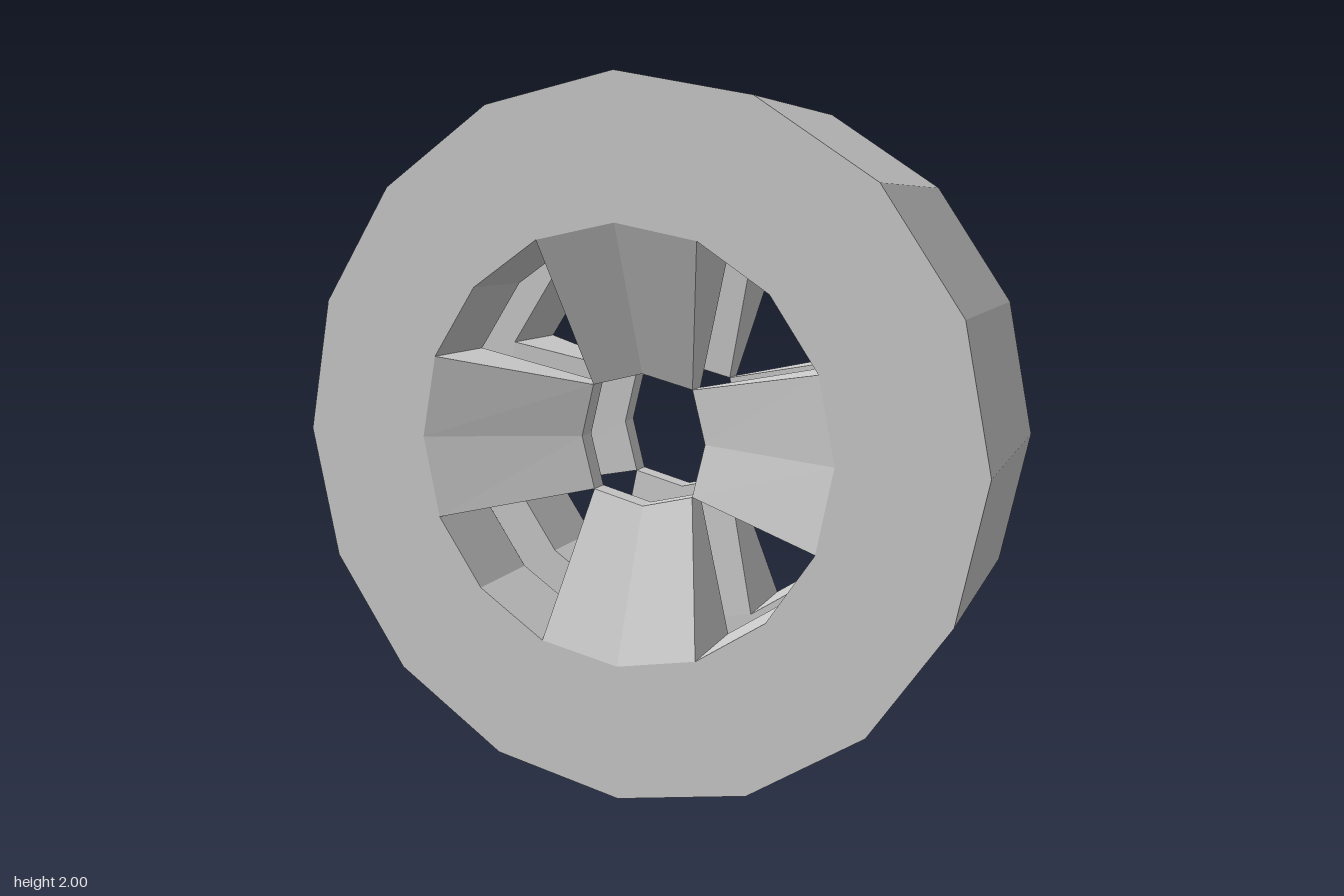
import * as THREE from 'three';

const HALF = 0.36;      // half width of the wheel
const RIM = 0.61;       // radius of the opening
const SIDES = 16;

// Flat-faced copy of a geometry
function faceted(geometry) {
  const g = geometry.index ? geometry.toNonIndexed() : geometry;
  g.computeVertexNormals();
  return g;
}

// 16-sided ring with a recess between the two sets of spokes
function tyreGeometry() {
  const profile = [
    [1, -HALF], [1, HALF], [RIM, HALF], [RIM, 0.1], [0.74, 0.1],
    [0.74, -0.1], [RIM, -0.1], [RIM, -HALF], [1, -HALF],
  ].map(([r, y]) => new THREE.Vector2(r, y));
  const g = new THREE.LatheGeometry(profile, SIDES);
  g.rotateX(Math.PI / 2);
  return faceted(g);
}

// Upward spoke: three columns of four corners, sloping in towards the hub
function spokeGeometry() {
  const columns = [-1, 0, 1].map((side) => {
    const a = side * Math.PI / 8;
    const ox = RIM * Math.sin(a), oy = RIM * Math.cos(a);
    const ix = side * 0.152, iy = side ? 0.152 : 0.19;
    return [[ox, oy, HALF], [ix, iy, 0.18], [ix, iy, 0.12], [ox, oy, 0.1]];
  });
  const positions = [];
  const quad = (a, b, c, d) => positions.push(...a, ...b, ...c, ...a, ...c, ...d);
  for (let j = 0; j < 2; j++) {
    for (let k = 0; k < 3; k++) {
      quad(columns[j][k], columns[j][k + 1], columns[j + 1][k + 1], columns[j + 1][k]);
    }
  }
  quad(...columns[2]);
  quad(...[...columns[0]].reverse());
  const g = new THREE.BufferGeometry();
  g.setAttribute('position', new THREE.Float32BufferAttribute(positions, 3));
  return faceted(g);
}

export function createModel() {
  const grey = new THREE.MeshStandardMaterial({ color: 0xcccccc });
  grey.name = 'light grey';
  grey.flatShading = true;

  const wheel = new THREE.Group();
  wheel.name = 'wheel';
  wheel.position.y = 1;

  const tyre = new THREE.Mesh(tyreGeometry(), grey);
  tyre.name = 'tyre';
  wheel.add(tyre);

  // Four spokes on each face
  const spokeShape = spokeGeometry();
  for (const face of ['front', 'back']) {
    const set = new THREE.Group();
    set.name = `${face}Spokes`;
    if (face === 'back') set.rotation.y = Math.PI;
    for (let i = 0; i < 4; i++) {
      const spoke = new THREE.Mesh(spokeShape, grey);
      spoke.name = `${face}Spoke${i + 1}`;
      spoke.rotation.z = i * Math.PI / 2;
      set.add(spoke);
    }
    wheel.add(set);
  }

  const model = new THREE.Group();
  model.name = 'model';
  model.add(wheel);
  return model;
}
